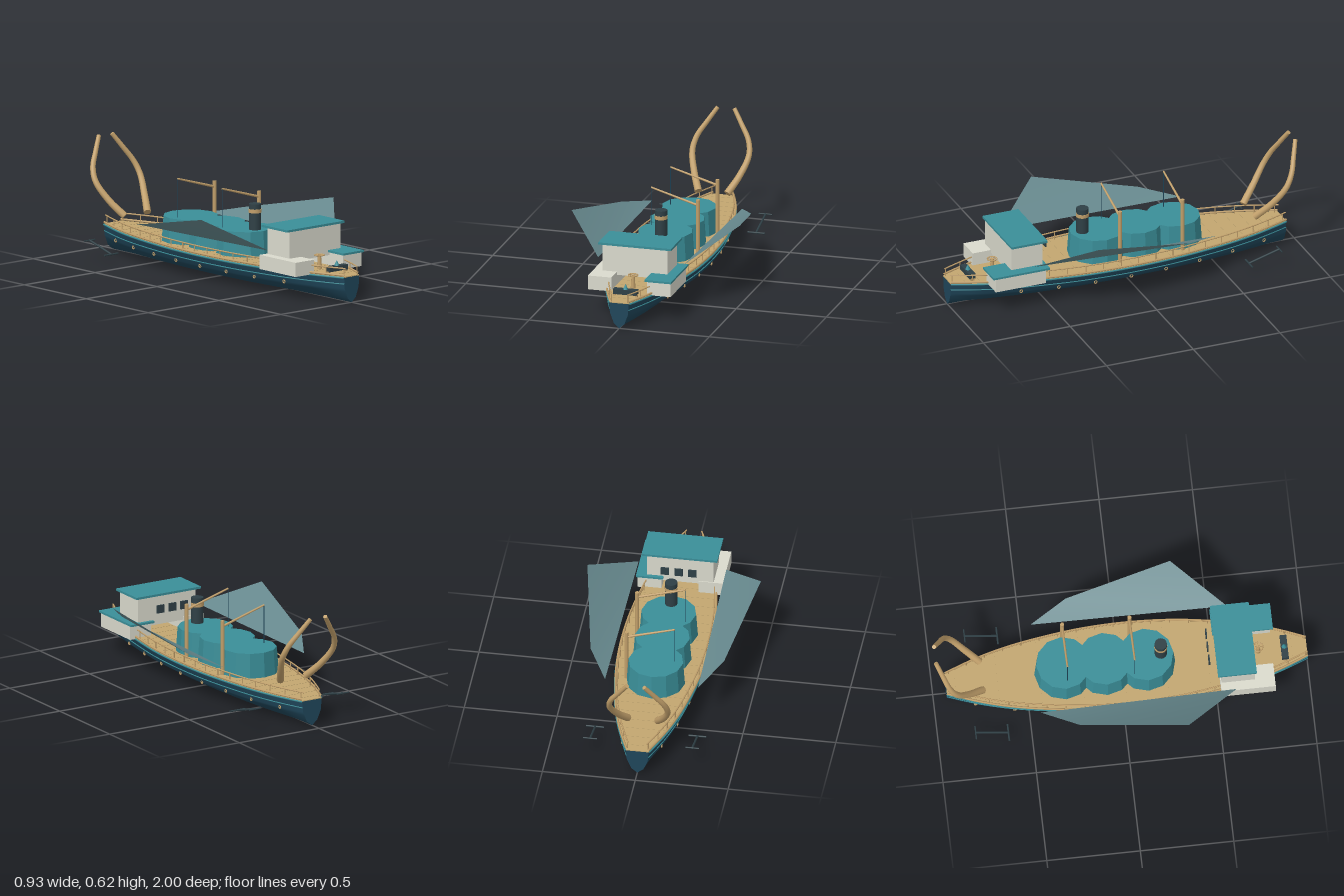
import * as THREE from 'three';

const mat = (name, color, side = THREE.FrontSide) => {
  const m = new THREE.MeshStandardMaterial({ color, side });
  m.name = name;
  return m;
};

export function createModel() {
  const root = new THREE.Group();
  root.name = 'ship';
  const navy = mat('hull navy', 0x1f465a);
  const tan = mat('deck tan', 0xc2a670);
  const wood = mat('warm wood', 0xc2a06b);
  const teal = mat('teal', 0x3a8e98);
  const wall = mat('cabin wall', 0xdadacd);
  const dark = mat('dark iron', 0x2f4046);
  const sailMat = mat('sail grey', 0x66888d, THREE.DoubleSide);

  const V = (x, y, z) => new THREE.Vector3(x, y, z);
  const add = (name, geo, material, pos = V(0, 0, 0)) => {
    const m = new THREE.Mesh(geo, material);
    m.name = name;
    m.position.copy(pos);
    root.add(m);
    return m;
  };
  // Box given by its minimum and maximum corners
  const box = (name, material, x0, x1, y0, y1, z0, z1) =>
    add(name, new THREE.BoxGeometry(x1 - x0, y1 - y0, z1 - z0), material,
      V((x0 + x1) / 2, (y0 + y1) / 2, (z0 + z1) / 2));
  // Round bar between two points
  const bar = (name, material, a, b, r, r2 = r, sides = 8) => {
    const m = add(name, new THREE.CylinderGeometry(r2, r, a.distanceTo(b), sides), material,
      a.clone().add(b).multiplyScalar(0.5));
    m.quaternion.setFromUnitVectors(V(0, 1, 0), b.clone().sub(a).normalize());
    return m;
  };

  // Half-width of the deck along the ship
  const plan = [[-0.93, 0.06], [-0.84, 0.095], [-0.74, 0.13], [-0.6, 0.168], [-0.45, 0.197],
    [-0.2, 0.23], [0.05, 0.24], [0.3, 0.228], [0.5, 0.2], [0.65, 0.172], [0.8, 0.13],
    [0.9, 0.094], [1, 0.053]];
  const halfWidth = (z) => {
    let i = 0;
    while (i < plan.length - 2 && plan[i + 1][0] < z) i++;
    const [z0, w0] = plan[i], [z1, w1] = plan[i + 1];
    return w0 + (w1 - w0) * (z - z0) / (z1 - z0);
  };

  // Hull: one section, scaled by the half-width
  const half = [[1, 0.14], [0.93, 0.08], [0.8, 0.062], [0.55, 0.026], [0, 0]];
  const section = [...half, ...half.slice(0, -1).reverse().map(([x, y]) => [-x, y])];
  const n = section.length, pos = [], idx = [];
  plan.forEach(([z, w]) => section.forEach(([x, y]) => pos.push(x * w, y, z)));
  for (let i = 0; i < plan.length - 1; i++) {
    for (let j = 0; j < n - 1; j++) {
      const a = i * n + j, b = a + 1, c = a + n, d = c + 1;
      idx.push(a, c, b, b, c, d);
    }
  }
  const hull = new THREE.BufferGeometry();
  hull.setAttribute('position', new THREE.Float32BufferAttribute(pos, 3));
  hull.setIndex(idx);
  hull.computeVertexNormals();
  add('hull', hull, navy);
  for (const end of [plan[0], plan[plan.length - 1]]) {
    const shape = new THREE.Shape(section.map(([x, y]) => new THREE.Vector2(x * end[1], y)));
    const cap = add('hullEnd', new THREE.ShapeGeometry(shape), navy, V(0, 0, end[0]));
    if (end[0] < 0) cap.rotation.y = Math.PI;
  }

  // Deck slab with raised plank seams
  const outline = [...plan.map(([z, w]) => new THREE.Vector2(w, -z)),
    ...[...plan].reverse().map(([z, w]) => new THREE.Vector2(-w, -z))];
  const deck = new THREE.ExtrudeGeometry(new THREE.Shape(outline), { depth: 0.006, bevelEnabled: false });
  deck.rotateX(-Math.PI / 2);
  add('deck', deck, tan, V(0, 0.138, 0));
  for (let i = 0; i < 25; i++) {
    const z = -0.88 + i * 0.075, w = halfWidth(z) - 0.012;
    box('plankSeam', tan, -w, w, 0.143, 0.1455, z - 0.0015, z + 0.0015);
  }

  // Lines that follow the side of the ship
  const follow = (name, s, y, scale, inset, r, material) => {
    const path = new THREE.CatmullRomCurve3(plan.map(([z, w]) => V(s * (w * scale - inset), y, z)));
    add(name, new THREE.TubeGeometry(path, 40, r, 6), material);
  };
  for (const s of [-1, 1]) {
    follow('deckTrim', s, 0.138, 1, -0.001, 0.005, teal);
    follow('hullStripe', s, 0.104, 0.96, 0, 0.003, teal);
    follow('gunwale', s, 0.151, 1, 0.002, 0.006, wood);
    follow('railing', s, 0.187, 1, 0.012, 0.004, wood);
    for (let i = 0; i < 20; i++) {
      const z = -0.91 + i * 0.1, x = s * (halfWidth(z) - 0.012);
      bar('railPost', wood, V(x, 0.14, z), V(x, 0.187, z), 0.003, 0.003, 6);
    }
    for (let i = 0; i < 8; i++) {
      const z = 0.64 - i * 0.203;
      const ring = add('porthole', new THREE.TorusGeometry(0.008, 0.003, 6, 12), wood,
        V(s * (halfWidth(z) * 0.93 + 0.001), 0.08, z));
      ring.rotation.y = Math.PI / 2;
    }
  }

  // Bridge, its roof and the two side cabins
  box('bridge', wall, -0.18, 0.18, 0.198, 0.36, 0.525, 0.705);
  box('bridgeRoof', teal, -0.202, 0.202, 0.36, 0.372, 0.505, 0.712);
  box('openCabin', wall, -0.23, -0.1, 0.138, 0.215, 0.52, 0.81);
  box('roofedCabin', wall, 0.1, 0.23, 0.138, 0.215, 0.525, 0.815);
  box('cabinRoof', teal, 0.09, 0.236, 0.215, 0.226, 0.505, 0.83);
  for (const x of [-0.074, 0, 0.074]) {
    box('bridgeWindow', dark, x - 0.022, x + 0.022, 0.278, 0.322, 0.466, 0.474);
  }

  // Three joined, slightly tapered storage tanks
  for (const z of [-0.3, -0.08, 0.14]) {
    const geo = new THREE.CylinderGeometry(0.147, 0.157, 0.138, 12).toNonIndexed();
    geo.computeVertexNormals();
    add('tank', geo, teal, V(0, 0.209, z));
  }

  // Funnel with a band
  add('funnel', new THREE.CylinderGeometry(0.033, 0.033, 0.148, 16), dark, V(0, 0.344, 0.22));
  add('funnelBand', new THREE.CylinderGeometry(0.035, 0.035, 0.02, 16), wood, V(0, 0.38, 0.22));

  // Cargo derricks
  for (const z of [0.07, -0.29]) {
    bar('derrickPost', wood, V(0.16, 0.14, z), V(0.16, 0.442, z), 0.011);
    bar('derrickBoom', wood, V(0.16, 0.411, z), V(-0.1, 0.488, z), 0.007, 0.005);
    bar('derrickCable', navy, V(-0.1, 0.488, z), V(-0.1, 0.277, z), 0.002, 0.002, 6);
  }

  // Tapered curved tusks at the stern
  for (const s of [-1, 1]) {
    const path = new THREE.CatmullRomCurve3([[0.08, 0.215, -0.74], [0.125, 0.293, -0.815],
      [0.157, 0.39, -0.887], [0.143, 0.46, -0.925], [0.096, 0.535, -0.957], [0.046, 0.61, -0.988]]
      .map(([x, y, z]) => V(s * x, y, z)));
    const steps = 28, sides = 10;
    const geo = new THREE.TubeGeometry(path, steps, 0.02, sides);
    const p = geo.attributes.position, v = V(0, 0, 0);
    for (let i = 0; i < p.count; i++) {
      const t = Math.floor(i / (sides + 1)) / steps, c = path.getPointAt(t);
      v.fromBufferAttribute(p, i).sub(c).multiplyScalar(1 - 0.42 * t).add(c);
      p.setXYZ(i, v.x, v.y, v.z);
    }
    add('tusk', geo, wood);
    for (const [t, r, dir] of [[0, 0.02, -1], [1, 0.0116, 1]]) {
      const cap = add('tuskEnd', new THREE.CircleGeometry(r, sides), wood, path.getPointAt(t));
      cap.quaternion.setFromUnitVectors(V(0, 0, 1), path.getTangentAt(t).multiplyScalar(dir));
    }
  }

  // Side sails and floating anchors
  for (const s of [-1, 1]) {
    const sail = new THREE.BufferGeometry();
    const pts = [[0.236, 0.25, 0.6], [0.467, 0.405, 0.32], [0.36, 0.283, -0.25], [0.25, 0.237, -0.45]];
    sail.setAttribute('position', new THREE.Float32BufferAttribute(
      pts.flatMap(([x, y, z]) => [s * x, y, z]), 3));
    sail.setIndex(s > 0 ? [0, 1, 2, 0, 2, 3] : [0, 2, 1, 0, 3, 2]);
    sail.computeVertexNormals();
    add('sail', sail, sailMat);

    bar('anchorShank', dark, V(s * 0.275, 0.1, -0.8), V(s * 0.275, 0.05, -0.625), 0.006);
    bar('anchorStock', dark, V(s * 0.238, 0.1, -0.8), V(s * 0.312, 0.1, -0.8), 0.004);
    bar('anchorArm', dark, V(s * 0.228, 0.05, -0.625), V(s * 0.323, 0.05, -0.625), 0.005);
  }

  // Steering wheel on its stand
  bar('wheelStand', wood, V(0, 0.14, 0.74), V(0, 0.213, 0.74), 0.014, 0.009);
  add('wheelRim', new THREE.TorusGeometry(0.026, 0.003, 6, 20).rotateX(Math.PI / 2), wood, V(0, 0.217, 0.74));
  for (let i = 0; i < 4; i++) {
    const a = i * Math.PI / 4, d = V(Math.cos(a), 0, Math.sin(a)).multiplyScalar(0.028), c = V(0, 0.217, 0.74);
    bar('wheelSpoke', wood, c.clone().sub(d), c.clone().add(d), 0.002, 0.002, 6);
  }

  // Windlass on the foredeck
  box('windlassBody', dark, -0.065, 0.065, 0.155, 0.182, 0.862, 0.898);
  add('windlassCone', new THREE.ConeGeometry(0.014, 0.03, 8), teal, V(0, 0.197, 0.88));
  for (const s of [-1, 1]) {
    box('windlassFoot', wood, s * 0.06 - 0.006, s * 0.06 + 0.006, 0.14, 0.157, 0.87, 0.89);
  }
  return root;
}
